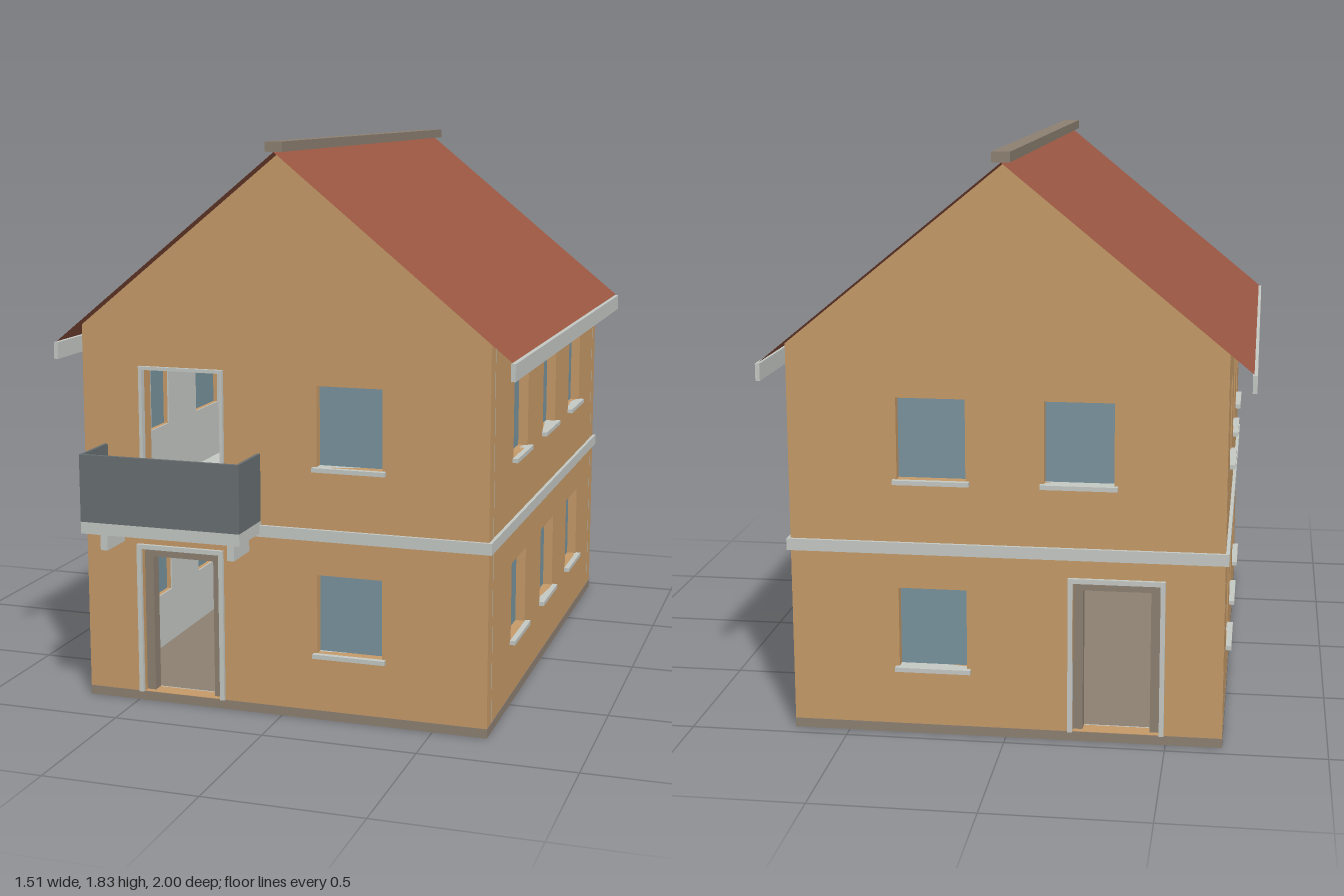
import * as THREE from 'three';

const material = (name, color, side = THREE.FrontSide) => {
  const m = new THREE.MeshStandardMaterial({ color, side });
  m.name = name;
  return m;
};

export function createModel() {
  const mats = {
    wall: material('ochre plaster', 0xc79b69),
    trim: material('pale stone', 0xc6cac5),
    stone: material('brown stone', 0x8e8172),
    glass: material('blue glass', 0x7a949f),
    rail: material('dark grey panel', 0x697072),
    roof: material('red roof tiles', 0x9c5843, THREE.DoubleSide),
  };
  const house = new THREE.Group();
  house.name = 'house';

  // Box given by its limits on each axis
  const box = (parent, name, mat, [x0, x1], [y0, y1], [z0, z1]) => {
    const mesh = new THREE.Mesh(new THREE.BoxGeometry(x1 - x0, y1 - y0, z1 - z0), mat);
    mesh.position.set((x0 + x1) / 2, (y0 + y1) / 2, (z0 + z1) / 2);
    mesh.name = name;
    parent.add(mesh);
  };

  // Sheet with rectangular openings, its outer face at local z
  const sheet = (parent, name, mat, outline, openings, z, depth) => {
    const shape = new THREE.Shape(outline.map(([x, y]) => new THREE.Vector2(x, y)));
    for (const [x0, x1, y0, y1] of openings) {
      shape.holes.push(new THREE.Path([[x0, y0], [x0, y1], [x1, y1], [x1, y0]]
        .map(([x, y]) => new THREE.Vector2(x, y))));
    }
    const mesh = new THREE.Mesh(
      new THREE.ExtrudeGeometry(shape, { depth, bevelEnabled: false }), mat);
    mesh.position.z = z - depth;
    mesh.name = name;
    parent.add(mesh);
  };

  // Three-sided frame around an opening
  const frame = (parent, name, mat, [x0, x1, y0, y1], w, z) => {
    box(parent, name, mat, [x0 - w, x0], [y0, y1 + w], z);
    box(parent, name, mat, [x1, x1 + w], [y0, y1 + w], z);
    box(parent, name, mat, [x0, x1], [y1, y1 + w], z);
  };

  // One outer wall with lining, windows and sills; local +z faces outwards
  const facade = (name, outline, windows, doors, x, z, turn) => {
    const g = new THREE.Group();
    g.name = name;
    g.position.set(x, 0, z);
    g.rotation.y = turn;
    const rects = windows.map(([cx, y]) => [cx - 0.107, cx + 0.107, y, y + 0.256]);
    const openings = [...rects, ...doors];
    sheet(g, 'wall', mats.wall, outline, openings, 0, 0.055);
    sheet(g, 'wallLining', mats.trim, outline, openings, -0.055, 0.005);
    for (const [x0, x1, y0, y1] of rects) {
      box(g, 'windowPane', mats.glass, [x0, x1], [y0, y1], [-0.04, -0.032]);
      box(g, 'windowSill', mats.trim, [x0 - 0.012, x1 + 0.012], [y0 - 0.014, y0], [-0.032, 0.018]);
    }
    house.add(g);
    return g;
  };

  const low = 0.22, high = 0.824;
  const gable = [[-0.675, 0.02], [0.675, 0.02], [0.675, 1.24], [0, 1.79], [-0.675, 1.24]];
  const side = [[-0.825, 0.02], [0.825, 0.02], [0.825, 1.24], [-0.825, 1.24]];
  const door = [-0.48, -0.21, 0.031, 0.515];
  const backDoor = [0.21, 0.48, 0.031, 0.515];
  const balconyDoor = [-0.465, -0.2, 0.64, 1.104];

  // Four walls
  const front = facade('frontWall', gable, [[0.228, low], [0.228, high]],
    [door, balconyDoor], 0, 0.815, 0);
  const back = facade('backWall', gable, [[-0.228, low], [-0.228, high], [0.228, high]],
    [backDoor], 0, -0.955, Math.PI);
  const sideWindows = [-0.458, 0, 0.458].flatMap((x) => [[x, low], [x, high]]);
  for (const s of [1, -1]) {
    facade(s > 0 ? 'leftWall' : 'rightWall', side, sideWindows, [], s * 0.675, -0.07, s * Math.PI / 2);
  }

  // Door surrounds and inner frames
  for (const [wall, d] of [[front, door], [back, backDoor]]) {
    frame(wall, 'doorSurround', mats.trim, d, 0.015, [-0.01, 0.012]);
    frame(wall, 'doorFrame', mats.stone, [d[0] + 0.03, d[1] - 0.03, d[2], d[3] - 0.03],
      0.03, [-0.06, -0.02]);
  }
  frame(front, 'balconyDoorSurround', mats.trim, balconyDoor, 0.011, [-0.01, 0.012]);
  box(back, 'innerGlazing', mats.glass, [0.1, 0.5], [0.63, 1.12], [-0.07, -0.062]);

  // Plinth, and the floor slab that shows as a band outside
  box(house, 'plinth', mats.stone, [-0.676, 0.676], [0, 0.03], [-0.956, 0.816]);
  box(house, 'floorBand', mats.trim, [-0.686, 0.686], [0.588, 0.625], [-0.966, 0.826]);

  // Roof slopes, gutters and ridge
  const zRoof = [-1, 0.853];
  for (const s of [1, -1]) {
    const run = 0.747, rise = 0.609;
    const slope = new THREE.PlaneGeometry(Math.hypot(run, rise), zRoof[1] - zRoof[0]);
    slope.rotateX(-Math.PI / 2);
    slope.rotateZ(-s * Math.atan2(rise, run));
    slope.translate(s * run / 2, 1.796 - rise / 2, (zRoof[0] + zRoof[1]) / 2);
    const mesh = new THREE.Mesh(slope, mats.roof);
    mesh.name = 'roofSlope';
    house.add(mesh);
    box(house, 'gutter', mats.trim, [s * 0.75 - 0.007, s * 0.75 + 0.007], [1.13, 1.184], zRoof);
  }
  box(house, 'roofRidge', mats.stone, [-0.028, 0.028], [1.797, 1.828], zRoof);

  // Balcony with parapet panels and brackets
  const x0 = -0.604, x1 = -0.067;
  box(house, 'balconySlab', mats.trim, [x0, x1], [0.6, 0.638], [0.8, 1]);
  box(house, 'balconyFrontPanel', mats.rail, [x0, x1], [0.638, 0.855], [0.988, 1]);
  for (const x of [x0, x1 - 0.01]) {
    box(house, 'balconySidePanel', mats.rail, [x, x + 0.01], [0.638, 0.855], [0.815, 0.988]);
  }
  for (const x of [-0.552, -0.119]) {
    box(house, 'balconyBracket', mats.trim, [x - 0.012, x + 0.012], [0.535, 0.6], [0.81, 0.945]);
  }
  return house;
}
